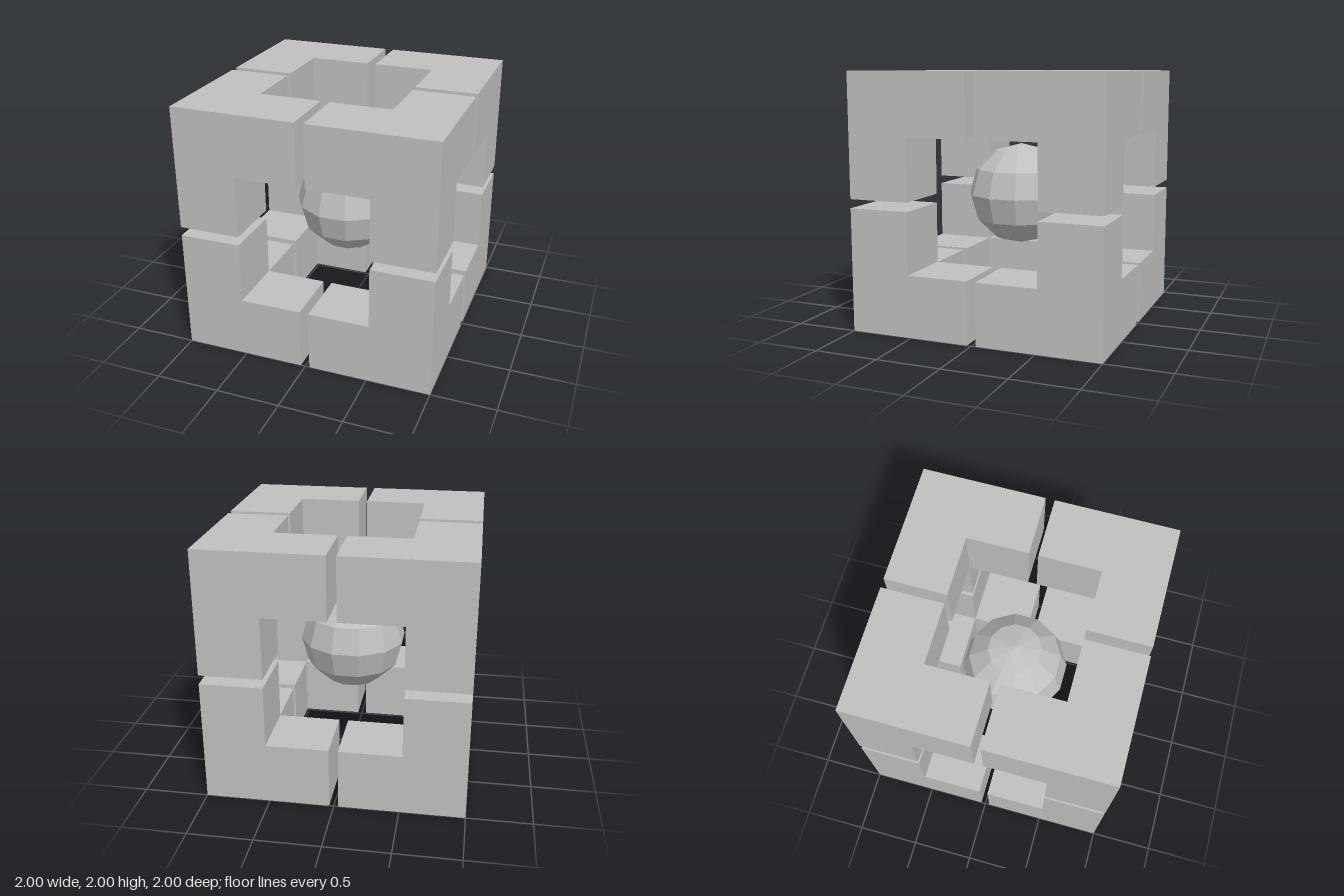
import * as THREE from 'three';
import { mergeGeometries } from 'three/addons/utils/BufferGeometryUtils.js';

const GAP = 0.035;   // half the slot between neighbouring corners
const HOLE = 0.516;  // half the square window
const OUT = 1;       // half the whole cube
const BALL = 0.412;

// Flat polygon at height z, facing +z
function facing(points, z) {
  const shape = new THREE.Shape(points.map(([x, y]) => new THREE.Vector2(x, y)));
  return new THREE.ShapeGeometry(shape).translate(0, 0, z);
}

// Flat polygon at height z, facing -z (turned over by swapping x and y)
function backing(points, z) {
  const swap = new THREE.Matrix4().set(0, 1, 0, 0, 1, 0, 0, 0, 0, 0, -1, 0, 0, 0, 0, 1);
  return facing(points, -z).applyMatrix4(swap);
}

function rect(x0, y0, x1, y1) {
  return [[x0, y0], [x1, y0], [x1, y1], [x0, y1]];
}

// Three-armed corner in the +x +y +z octant: one set of faces, turned onto each axis
function cornerGeometry() {
  const side = mergeGeometries([
    facing([[HOLE, GAP], [OUT, GAP], [OUT, OUT], [GAP, OUT], [GAP, HOLE], [HOLE, HOLE]], OUT),
    backing(rect(HOLE, GAP, OUT, HOLE), HOLE),
    backing(rect(GAP, HOLE, HOLE, OUT), HOLE),
    backing(rect(HOLE, HOLE, OUT, OUT), GAP),
  ]);
  const cycle = new THREE.Matrix4().set(0, 0, 1, 0, 1, 0, 0, 0, 0, 1, 0, 0, 0, 0, 0, 1);
  const second = side.clone().applyMatrix4(cycle);
  const third = second.clone().applyMatrix4(cycle);
  return mergeGeometries([side, second, third]);
}

export function createModel() {
  const model = new THREE.Group();
  model.name = 'splitCubeWithBall';
  const grey = new THREE.MeshStandardMaterial({ color: 0xc0c0c0, flatShading: true });
  grey.name = 'grey';

  // Eight corners: four on top, four below turned upside down
  const corner = cornerGeometry();
  for (const level of ['upper', 'lower']) {
    for (let i = 0; i < 4; i++) {
      const mesh = new THREE.Mesh(corner, grey);
      mesh.name = `${level}Corner${i + 1}`;
      mesh.rotation.set(level === 'lower' ? Math.PI : 0, i * Math.PI / 2, 0);
      mesh.position.y = 1;
      model.add(mesh);
    }
  }

  // Faceted ball, with its flat sides square to the axes
  const widen = 1 / Math.cos(Math.PI / 12);
  const ball = new THREE.Mesh(
    new THREE.SphereGeometry(BALL, 12, 6).rotateY(Math.PI / 12).scale(widen, 1, widen), grey);
  ball.name = 'centreBall';
  ball.position.y = 1;
  model.add(ball);

  return model;
}
